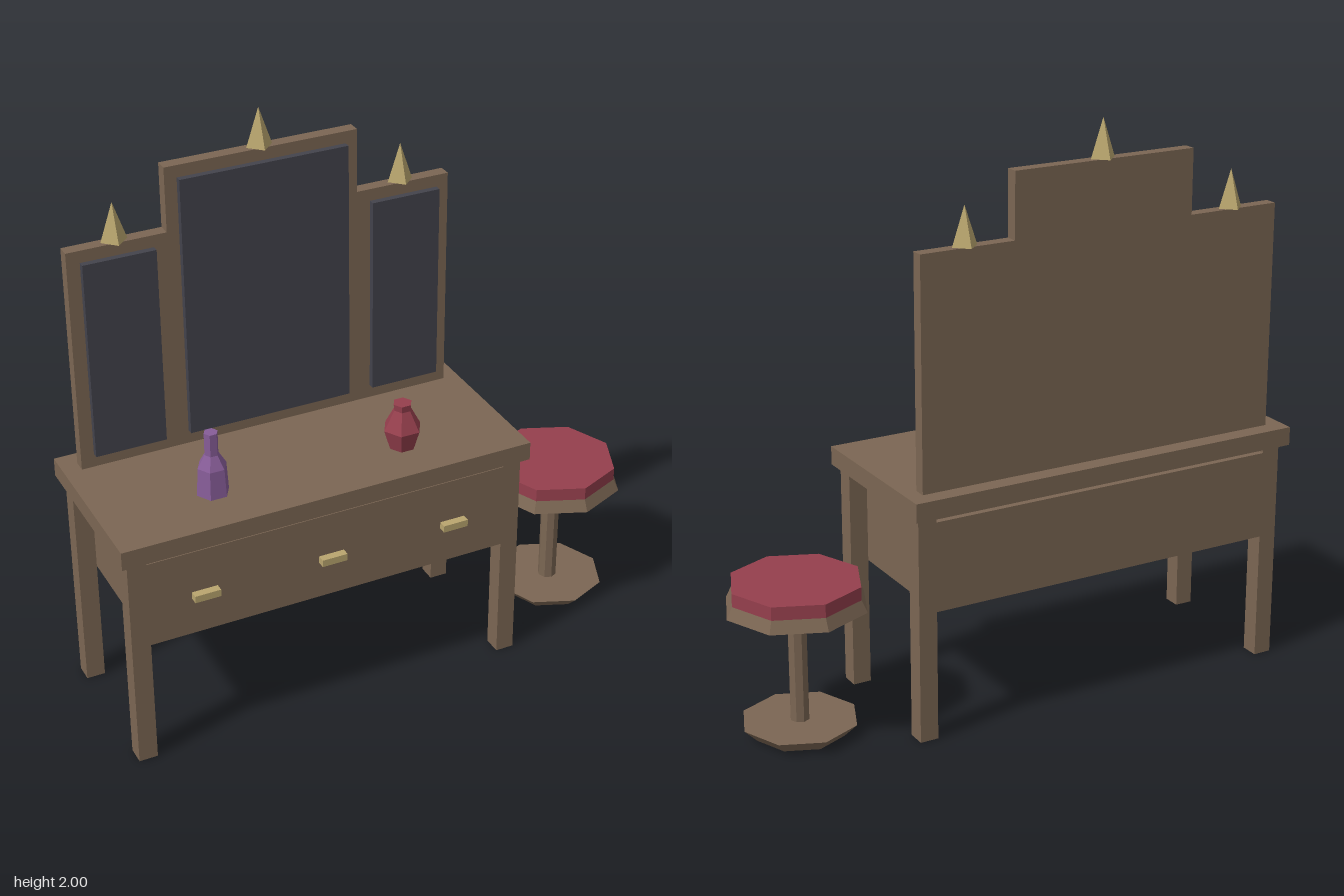
import * as THREE from 'three';

const mat = (name, color) => {
  const m = new THREE.MeshStandardMaterial({ color, flatShading: true });
  m.name = name;
  return m;
};

export function createModel() {
  const wood = mat('brown wood', 0x7b6653);
  const glass = mat('dark mirror glass', 0x43434c);
  const gold = mat('pale gold', 0xb9a56e);
  const red = mat('dull red', 0x953f4d);
  const purple = mat('purple glass', 0x875d98);

  const root = new THREE.Group();
  root.name = 'dressingTableAndStool';
  const group = (name, x = 0, y = 0, z = 0) => {
    const g = new THREE.Group();
    g.name = name;
    g.position.set(x, y, z);
    root.add(g);
    return g;
  };
  const add = (parent, name, geometry, material, x, y, z) => {
    const m = new THREE.Mesh(geometry, material);
    m.name = name;
    m.position.set(x, y, z);
    parent.add(m);
    return m;
  };
  // Box given by its limits on each axis
  const box = (parent, name, material, [x0, x1], [y0, y1], [z0, z1]) =>
    add(parent, name, new THREE.BoxGeometry(x1 - x0, y1 - y0, z1 - z0), material,
      (x0 + x1) / 2, (y0 + y1) / 2, (z0 + z1) / 2);

  // Table: top, drawer body and four legs
  const table = group('table');
  box(table, 'tableTop', wood, [-1, 0.46], [0.79, 0.855], [-0.308, 0.308]);
  box(table, 'drawerBody', wood, [-0.91, 0.375], [0.455, 0.767], [-0.28, 0.28]);
  for (const x of [-0.975, 0.375])
    for (const z of [-0.28, 0.215])
      box(table, 'leg', wood, [x, x + 0.065], [0, 0.79], [z, z + 0.065]);
  for (const x of [-0.717, -0.267, 0.183])
    box(table, 'drawerHandle', gold, [x - 0.045, x + 0.045], [0.59, 0.615], [0.28, 0.308]);

  // Three-panel mirror: frame, glass and pointed finial on each panel
  const mirror = group('mirror');
  const panels = [
    { frame: [-0.94, -0.602], pane: [-0.895, -0.647], top: 1.645 },
    { frame: [-0.602, 0.068], pane: [-0.56, 0.027], top: 1.868 },
    { frame: [0.068, 0.405], pane: [0.115, 0.363], top: 1.645 },
  ];
  for (const { frame, pane, top } of panels) {
    box(mirror, 'mirrorFrame', wood, frame, [0.855, top], [-0.247, -0.203]);
    box(mirror, 'mirrorGlass', glass, pane, [0.903, top - 0.042], [-0.203, -0.181]);
    add(mirror, 'finial', new THREE.ConeGeometry(0.045, 0.132, 4), gold,
      (frame[0] + frame[1]) / 2, top + 0.066, -0.225);
  }

  // Octagonal stool
  const stool = group('stool', 0.745, 0, 0);
  const disc = (name, material, rTop, rBottom, y0, y1) =>
    add(stool, name, new THREE.CylinderGeometry(rTop, rBottom, y1 - y0, 8), material, 0, (y0 + y1) / 2, 0);
  disc('stoolBase', wood, 0.2, 0.155, 0, 0.045);
  disc('stoolPost', wood, 0.033, 0.033, 0.045, 0.455);
  disc('stoolSeat', wood, 0.225, 0.245, 0.455, 0.497);
  disc('stoolCushion', red, 0.225, 0.225, 0.497, 0.543);

  // Six-sided bottles standing on the table
  const bottle = (name, material, profile, x, z) =>
    add(root, name, new THREE.LatheGeometry(
      profile.map(([r, y]) => new THREE.Vector2(r, y)), 6, Math.PI / 2), material, x, 0.855, z);
  bottle('tallBottle', purple,
    [[0, 0], [0.056, 0], [0.05, 0.1], [0.024, 0.145], [0.024, 0.225], [0, 0.225]], -0.607, 0.11);
  bottle('roundBottle', red,
    [[0, 0], [0.045, 0], [0.067, 0.073], [0.03, 0.143], [0.033, 0.167], [0, 0.167]], 0.068, 0.132);

  return root;
}
